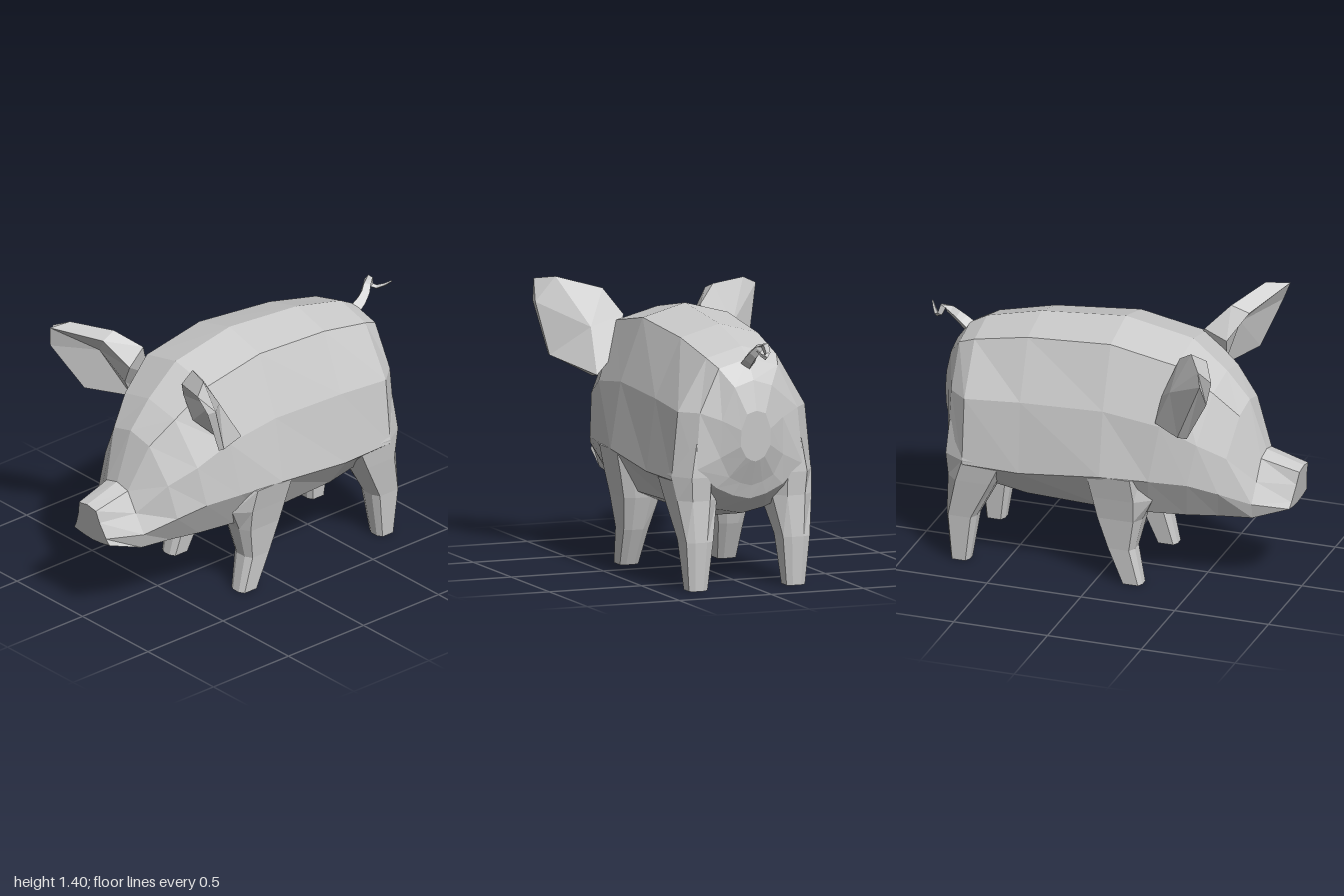
import * as THREE from 'three';

const V = (x, y, z) => new THREE.Vector3(x, y, z);
const mat = new THREE.MeshStandardMaterial({ color: 0xcccccc, flatShading: true, side: THREE.DoubleSide });
const CX = 0.035; // the body sits slightly off the ears' centre line

function middle(ring) {
  return ring.reduce((s, p) => s.add(p), V(0, 0, 0)).divideScalar(ring.length);
}

// Skin closed rings of points; each end is a fan to a centre point
function loft(rings, start = middle(rings[0]), end = middle(rings[rings.length - 1])) {
  const pos = [];
  const tri = (...pts) => pts.forEach(p => pos.push(p.x, p.y, p.z));
  const n = rings[0].length, last = rings[rings.length - 1];
  for (let j = 0; j < n; j++) {
    const k = (j + 1) % n;
    tri(start, rings[0][k], rings[0][j]);
    for (let i = 0; i < rings.length - 1; i++) {
      const a = rings[i], b = rings[i + 1];
      tri(a[j], a[k], b[k]);
      tri(a[j], b[k], b[j]);
    }
    tri(end, last[j], last[k]);
  }
  const g = new THREE.BufferGeometry();
  g.setAttribute('position', new THREE.Float32BufferAttribute(pos, 3));
  g.computeVertexNormals();
  return g;
}

// Twelve-sided body ring: z at top and bottom, heights of top, widest line
// and bottom, then four half widths from the back down
function bodyRing([zTop, zBot, top, mid, bot, w1, w2, w3, w4]) {
  const widths = [0, w1, w2, w3, w4, w4 * 0.5, 0];
  const heights = [1, 0.94, 0.63, (mid - bot) / (top - bot), 0.09, 0.03, 0];
  const side = s => widths.map((w, i) => V(
    CX + s * w,
    bot + (top - bot) * heights[i],
    zBot + (zTop - zBot) * heights[i]));
  return [...side(1), ...side(-1).slice(1, 6).reverse()];
}

// Chamfered rectangular leg ring, mirrored by s; cb and cf are the depths
// of the back and front chamfers
function legRing([y, x0, x1, z0, z1, cb, cf], s) {
  const cx = (x1 - x0) * 0.28;
  const ring = [
    [x1, z1 - cf], [x1, z0 + cb], [x1 - cx, z0], [x0 + cx, z0],
    [x0, z0 + cb], [x0, z1 - cf], [x0 + cx, z1], [x1 - cx, z1],
  ].map(([x, z]) => V(CX + s * x, y, z));
  return s > 0 ? ring : ring.reverse();
}

export function createModel() {
  const group = new THREE.Group();
  const add = (name, geometry) => {
    const mesh = new THREE.Mesh(geometry, mat);
    mesh.name = name;
    group.add(mesh);
  };

  // Snout, head, barrel and rump in one skin, front to back
  const body = [
    [1.0, 0.965, 0.65, 0.49, 0.44, 0.065, 0.08, 0.115, 0.135],
    [0.8, 0.78, 0.71, 0.48, 0.365, 0.08, 0.135, 0.19, 0.165],
    [0.71, 0.6, 0.97, 0.55, 0.335, 0.135, 0.24, 0.275, 0.19],
    [0.59, 0.44, 1.11, 0.6, 0.32, 0.19, 0.31, 0.335, 0.23],
    [0.41, 0.25, 1.26, 0.61, 0.31, 0.23, 0.345, 0.375, 0.27],
    [0.05, 0.05, 1.33, 0.61, 0.3, 0.23, 0.35, 0.405, 0.28],
    [-0.4, -0.38, 1.29, 0.56, 0.315, 0.21, 0.345, 0.39, 0.27],
    [-0.69, -0.69, 1.22, 0.56, 0.37, 0.19, 0.345, 0.38, 0.25],
    [-0.78, -0.8, 1.17, 0.62, 0.46, 0.16, 0.265, 0.29, 0.18],
    [-0.85, -0.82, 1.07, 0.68, 0.53, 0.1, 0.165, 0.17, 0.12],
    [-0.89, -0.875, 0.92, 0.74, 0.66, 0.05, 0.08, 0.08, 0.05],
  ];
  add('body', loft(body.map(bodyRing)));

  // Legs: y, inner x, outer x, back z, front z, back and front chamfer
  const frontLeg = [
    [0, 0.215, 0.315, 0.13, 0.24, 0.015, 0.015],
    [0.19, 0.19, 0.325, 0.05, 0.2, 0.02, 0.02],
    [0.36, 0.15, 0.345, 0, 0.24, 0.02, 0.03],
    [0.48, 0.15, 0.37, -0.02, 0.3, 0.02, 0.08],
    [0.61, 0.18, 0.4, -0.04, 0.25, 0.02, 0.04],
  ];
  const hindLeg = [
    [0, 0.215, 0.315, -0.78, -0.68, 0.015, 0.015],
    [0.25, 0.19, 0.335, -0.8, -0.64, 0.02, 0.02],
    [0.46, 0.15, 0.365, -0.79, -0.53, 0.06, 0.02],
    [0.58, 0.14, 0.38, -0.8, -0.47, 0.11, 0.02],
    [0.75, 0.14, 0.34, -0.79, -0.47, 0.11, 0.02],
  ];
  for (const [side, s] of [['left', 1], ['right', -1]]) {
    add(side + 'FrontLeg', loft(frontLeg.map(r => legRing(r, s))));
    add(side + 'HindLeg', loft(hindLeg.map(r => legRing(r, s))));
  }

  // Cupped ears: back edge, front edge, inset lip, then a hollow
  const ear = (name, backEdge, frontEdge, back, hollow) => {
    const outer = backEdge.map(p => V(...p));
    const front = frontEdge.map(p => V(...p));
    const lip = front.map(p => p.clone().lerp(hollow, 0.08));
    add(name, loft([outer, front, lip], back, hollow));
  };
  ear('leftEar', [
    [0.225, 1.23, 0.4], [0.3, 1.05, 0.32], [0.41, 0.945, 0.3], [0.565, 1.02, 0.55],
    [0.605, 1.28, 0.64], [0.5, 1.405, 0.63], [0.29, 1.35, 0.52],
  ], [
    [0.22, 1.18, 0.52], [0.27, 1.05, 0.5], [0.4, 0.93, 0.39], [0.56, 1.02, 0.58],
    [0.6, 1.28, 0.69], [0.575, 1.385, 0.735], [0.31, 1.31, 0.61],
  ], V(0.39, 1.17, 0.43), V(0.43, 1.2, 0.52));
  ear('rightEar', [
    [-0.2, 1.25, 0.42], [-0.31, 1.335, 0.52], [-0.52, 1.34, 0.63], [-0.605, 1.3, 0.67],
    [-0.49, 0.95, 0.51], [-0.32, 0.93, 0.33], [-0.25, 1.05, 0.34],
  ], [
    [-0.19, 1.17, 0.52], [-0.3, 1.305, 0.6], [-0.57, 1.315, 0.72], [-0.59, 1.2, 0.7],
    [-0.49, 0.95, 0.56], [-0.31, 0.92, 0.4], [-0.25, 1.06, 0.5],
  ], V(-0.38, 1.14, 0.43), V(-0.42, 1.18, 0.52));

  // Curly tail, tapering to its tip
  const curve = new THREE.CatmullRomCurve3([
    V(0.04, 1.12, -0.75), V(0.04, 1.19, -0.84), V(0, 1.26, -0.905), V(-0.01, 1.2, -0.93),
    V(0.025, 1.2, -0.96), V(0.075, 1.24, -0.995),
  ], false, 'catmullrom', 0.2);
  const segs = 9, sides = 4;
  const tail = new THREE.TubeGeometry(curve, segs, 0.042, sides);
  const p = tail.attributes.position, v = V(0, 0, 0);
  for (let i = 0; i < p.count; i++) {
    const t = Math.floor(i / (sides + 1)) / segs;
    const c = curve.getPointAt(t);
    v.fromBufferAttribute(p, i).sub(c).multiplyScalar(1 - 0.9 * t).add(c);
    p.setXYZ(i, v.x, v.y, v.z);
  }
  add('tail', tail);

  return group;
}
